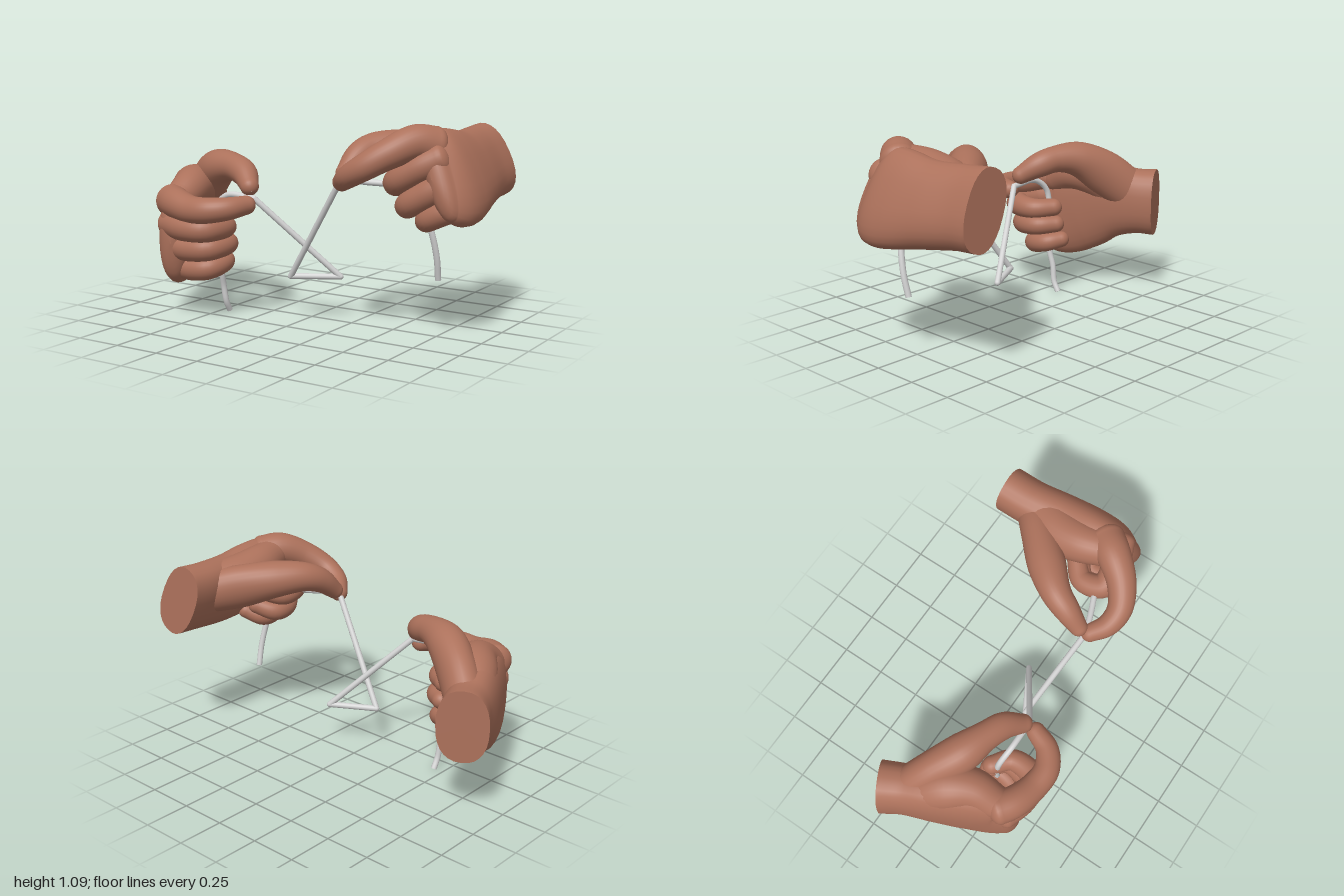
import * as THREE from 'three';

const skin = new THREE.MeshStandardMaterial({ color: 0xac715b });
skin.name = 'skin';
const cordGrey = new THREE.MeshStandardMaterial({ color: 0xd2d2d2 });
cordGrey.name = 'cordGrey';

// Rounded limb swept through sections [x, y, z, radius along up, radius across].
// It ends in a dome and starts with a softer dome, or with a flat cut for the wrist.
function limb(name, sections, up, flatStart, sides = 28) {
  const path = new THREE.CatmullRomCurve3(sections.map(s => new THREE.Vector3(s[0], s[1], s[2])));
  const size = new THREE.CatmullRomCurve3(
    sections.map(s => new THREE.Vector3(s[3], s[4] ?? s[3], 0)), false, 'catmullrom');
  const pos = [], index = [];
  const bend = v => Math.sign(v) * Math.abs(v) ** (flatStart ? 0.85 : 1);

  // One ring at t, pushed along the path and shrunk by an angle to form domes
  let rings = 0;
  const ring = (t, angle = 0, depth = 0) => {
    const dir = path.getTangent(t), r = size.getPoint(t);
    const c = path.getPoint(t).addScaledVector(dir, r.y * depth * Math.sin(angle));
    const across = new THREE.Vector3().crossVectors(up, dir).normalize();
    const high = new THREE.Vector3().crossVectors(dir, across);
    for (let j = 0; j < sides; j++) {
      const a = (j / sides) * Math.PI * 2;
      const p = c.clone()
        .addScaledVector(across, r.y * Math.cos(angle) * bend(Math.cos(a)))
        .addScaledVector(high, r.x * Math.cos(angle) * bend(Math.sin(a)));
      pos.push(p.x, p.y, p.z);
    }
    rings++;
  };

  const steps = (sections.length - 1) * 7, dome = 7, quarter = Math.PI * 0.495;
  if (!flatStart) for (let k = dome; k > 0; k--) ring(0, (k / dome) * quarter, -0.6);
  for (let i = 0; i <= steps; i++) ring(i / steps);
  for (let k = 1; k <= dome; k++) ring(1, (k / dome) * quarter, 1);
  for (let i = 0; i < rings - 1; i++) {
    for (let j = 0; j < sides; j++) {
      const a = i * sides + j, b = i * sides + (j + 1) % sides;
      index.push(a, b, a + sides, b, b + sides, a + sides);
    }
  }
  if (flatStart) {
    // The cut has its own vertices, so its edge stays sharp
    const cut = rings * sides;
    ring(0);
    pos.push(...path.getPoint(0).toArray());
    for (let j = 0; j < sides; j++) index.push(cut + sides, cut + (j + 1) % sides, cut + j);
  }

  const geo = new THREE.BufferGeometry();
  geo.setAttribute('position', new THREE.Float32BufferAttribute(pos, 3));
  geo.setIndex(index);
  geo.computeVertexNormals();
  const mesh = new THREE.Mesh(geo, skin);
  mesh.name = name;
  return mesh;
}

function hand(name, up, parts) {
  const group = new THREE.Group();
  group.name = name;
  for (const [part, sections] of Object.entries(parts)) {
    group.add(limb(part, sections, up, part === 'palm'));
  }
  return group;
}

// Each finger runs from knuckle to tip
const rightHandParts = {
  palm: [
    [-0.885, 0.525, -0.215, 0.19, 0.132], [-0.83, 0.525, -0.11, 0.19, 0.125],
    [-0.77, 0.515, 0.05, 0.235, 0.118], [-0.71, 0.465, 0.2, 0.265, 0.105],
    [-0.665, 0.425, 0.31, 0.265, 0.09], [-0.63, 0.42, 0.39, 0.225, 0.078]],
  thumb: [
    [-0.81, 0.58, -0.09, 0.12, 0.1], [-0.68, 0.7, 0, 0.125, 0.1], [-0.55, 0.785, 0.08, 0.1],
    [-0.42, 0.8, 0.13, 0.076], [-0.32, 0.775, 0.17, 0.07], [-0.24, 0.72, 0.235, 0.05]],
  thumbWeb: [
    [-0.8, 0.58, -0.02, 0.13, 0.11], [-0.715, 0.665, 0.09, 0.125], [-0.655, 0.675, 0.21, 0.105],
    [-0.64, 0.63, 0.32, 0.09]],
  indexFinger: [
    [-0.66, 0.625, 0.36, 0.09], [-0.58, 0.622, 0.415, 0.083], [-0.46, 0.605, 0.45, 0.073],
    [-0.35, 0.61, 0.455, 0.068], [-0.26, 0.62, 0.4, 0.06], [-0.215, 0.63, 0.3, 0.05]],
  middleFinger: [
    [-0.65, 0.51, 0.385, 0.08], [-0.52, 0.5, 0.43, 0.072], [-0.4, 0.498, 0.415, 0.067],
    [-0.375, 0.495, 0.27, 0.058], [-0.46, 0.5, 0.19, 0.05]],
  ringFinger: [
    [-0.64, 0.39, 0.365, 0.077], [-0.53, 0.382, 0.39, 0.07], [-0.41, 0.39, 0.375, 0.065],
    [-0.38, 0.4, 0.245, 0.056], [-0.46, 0.405, 0.17, 0.048]],
  littleFinger: [
    [-0.62, 0.27, 0.32, 0.075], [-0.55, 0.262, 0.335, 0.067], [-0.45, 0.272, 0.32, 0.062],
    [-0.425, 0.295, 0.21, 0.053], [-0.49, 0.31, 0.155, 0.046]],
};

const leftHandParts = {
  palm: [
    [0.78, 0.85, -0.535, 0.203, 0.123], [0.785, 0.84, -0.39, 0.203, 0.123],
    [0.815, 0.825, -0.2, 0.215, 0.125], [0.845, 0.825, -0.03, 0.245, 0.112],
    [0.852, 0.825, 0.08, 0.25, 0.098], [0.835, 0.83, 0.155, 0.22, 0.07]],
  thumb: [
    [0.74, 0.86, -0.34, 0.12, 0.1], [0.62, 0.89, -0.23, 0.125, 0.1], [0.48, 0.93, -0.1, 0.1],
    [0.38, 0.935, 0.02, 0.08], [0.345, 0.9, 0.11, 0.068], [0.325, 0.825, 0.2, 0.048]],
  thumbWeb: [
    [0.75, 0.88, -0.32, 0.13], [0.7, 0.905, -0.17, 0.13], [0.69, 0.945, -0.03, 0.11],
    [0.71, 0.965, 0.08, 0.095]],
  indexFinger: [
    [0.76, 0.975, 0.08, 0.1], [0.7, 0.995, 0.16, 0.09], [0.61, 0.945, 0.27, 0.077],
    [0.51, 0.88, 0.33, 0.067], [0.42, 0.83, 0.32, 0.059], [0.345, 0.79, 0.26, 0.048]],
  middleFinger: [
    [0.82, 0.92, 0.13, 0.08], [0.72, 0.87, 0.175, 0.073], [0.605, 0.8, 0.175, 0.066],
    [0.58, 0.775, 0.06, 0.058], [0.66, 0.8, -0.03, 0.05]],
  ringFinger: [
    [0.86, 0.81, 0.13, 0.078], [0.77, 0.75, 0.165, 0.071], [0.66, 0.685, 0.155, 0.064],
    [0.635, 0.67, 0.045, 0.056], [0.71, 0.705, -0.03, 0.048]],
  littleFinger: [
    [0.91, 0.695, 0.11, 0.07], [0.84, 0.66, 0.145, 0.065], [0.755, 0.615, 0.135, 0.058],
    [0.735, 0.61, 0.04, 0.05], [0.8, 0.65, -0.03, 0.044]],
};

// Cord: smooth ends held in the fists, straight crossing folds in the middle
const vectors = list => list.map(p => new THREE.Vector3(...p));
function cordPiece(name, curve, segments, radius = 0.016) {
  const piece = new THREE.Group();
  piece.name = name;
  piece.add(new THREE.Mesh(new THREE.TubeGeometry(curve, segments, radius, 14), cordGrey));
  for (const t of [0, 1]) {
    const cap = new THREE.Mesh(new THREE.CircleGeometry(radius, 14), cordGrey);
    cap.position.copy(curve.getPoint(t));
    const out = curve.getTangent(t).multiplyScalar(t ? 1 : -1);
    cap.quaternion.setFromUnitVectors(new THREE.Vector3(0, 0, 1), out);
    piece.add(cap);
  }
  piece.children.forEach((m, i) => { m.name = i ? 'cordEnd' : 'cordTube'; });
  return piece;
}

export function createModel() {
  const model = new THREE.Group();
  model.name = 'handsTyingCord';
  model.add(hand('rightHand', new THREE.Vector3(0, 1, 0), rightHandParts));
  model.add(hand('leftHand', new THREE.Vector3(-0.42, 0.907, 0), leftHandParts));

  const cord = new THREE.Group();
  cord.name = 'cord';
  const corners = vectors([[-0.2, 0.66, 0.25], [0.18, 0.24, 0], [-0.05, 0.24, 0.13], [0.33, 0.8, 0.245]]);
  cord.add(cordPiece('rightCordEnd', new THREE.CatmullRomCurve3(vectors([
    [-0.45, 0.005, 0.14], [-0.45, 0.06, 0.17], [-0.455, 0.15, 0.185], [-0.45, 0.25, 0.21],
    [-0.46, 0.45, 0.22], [-0.45, 0.6, 0.235], [-0.37, 0.665, 0.25], [-0.2, 0.66, 0.25]])), 60));
  for (let i = 0; i < 3; i++) {
    cord.add(cordPiece('cordFold' + (i + 1), new THREE.LineCurve3(corners[i], corners[i + 1]), 1));
  }
  for (const p of corners) {
    const joint = new THREE.Mesh(new THREE.SphereGeometry(0.016, 14, 10), cordGrey);
    joint.name = 'cordBend';
    joint.position.copy(p);
    cord.add(joint);
  }
  cord.add(cordPiece('leftCordEnd', new THREE.CatmullRomCurve3(vectors([
    [0.33, 0.8, 0.245], [0.45, 0.79, 0.2], [0.6, 0.77, 0.14], [0.71, 0.69, 0.12],
    [0.755, 0.57, 0.095], [0.775, 0.42, 0.06], [0.77, 0.3, 0.03]])), 60));
  model.add(cord);
  return model;
}
